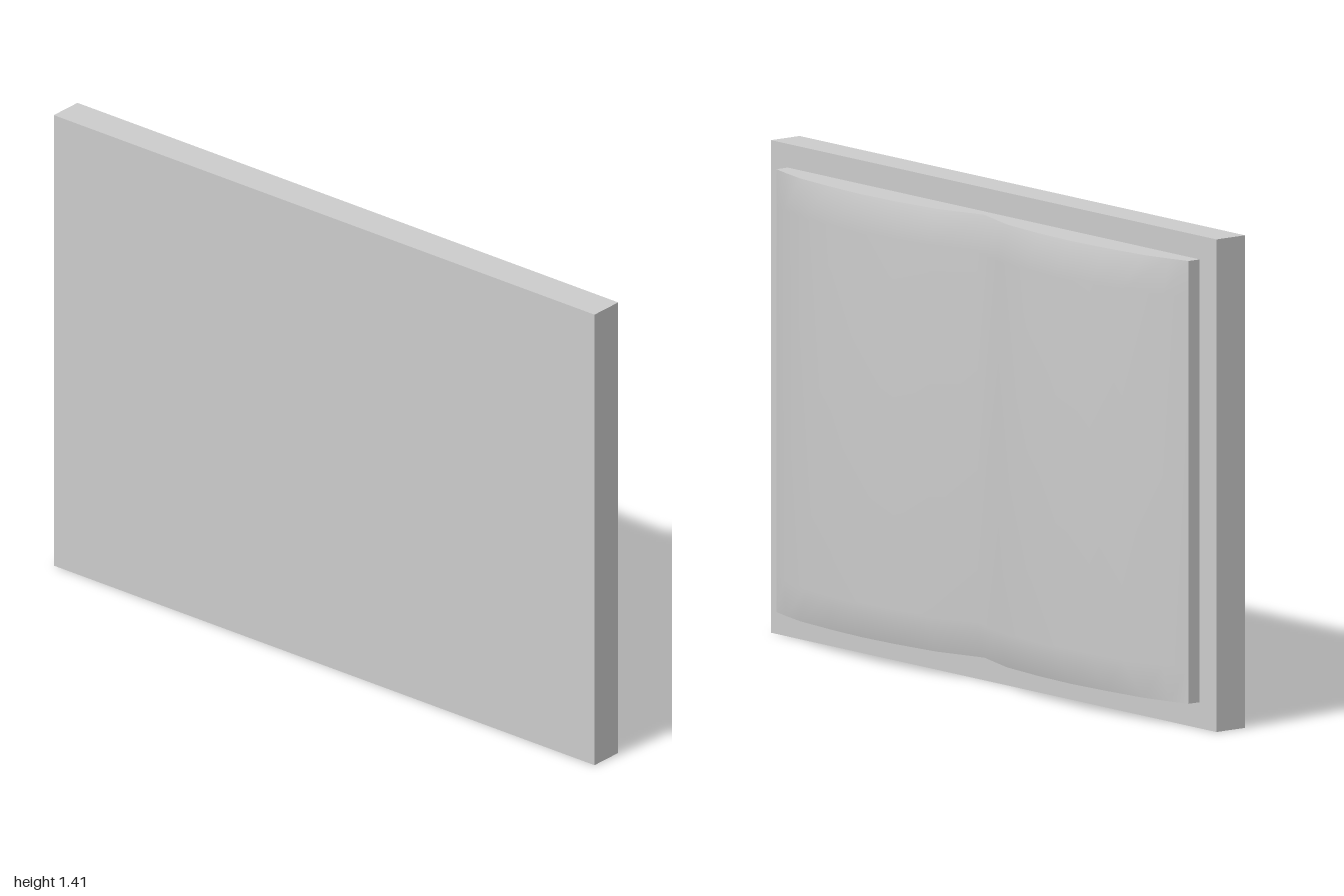
import * as THREE from 'three';

const material = new THREE.MeshStandardMaterial({ color: 0xcccccc });

// Surface through rows of points; the front faces (row step) x (column step)
function sheet(name, rows) {
  const cols = rows[0].length;
  const index = [];
  for (let i = 0; i < rows.length - 1; i++) {
    for (let j = 0; j < cols - 1; j++) {
      const a = i * cols + j;
      const b = a + cols;
      index.push(a, b, a + 1, a + 1, b, b + 1);
    }
  }
  const geometry = new THREE.BufferGeometry();
  geometry.setAttribute('position', new THREE.Float32BufferAttribute(rows.flat(2), 3));
  geometry.setIndex(index);
  geometry.computeVertexNormals();
  const mesh = new THREE.Mesh(geometry, material);
  mesh.name = name;
  return mesh;
}

export function createModel() {
  const model = new THREE.Group();
  model.name = 'openBook';

  // Flat cover board
  const coverZ = 0.014;
  const cover = new THREE.Mesh(new THREE.BoxGeometry(2, 1.415, 0.104), material);
  cover.name = 'cover';
  cover.position.set(0, 0.7075, coverZ + 0.052);
  model.add(cover);

  // Half profile from gutter to outer edge: x, z in the middle; x, z at the top and bottom
  const half = [
    [0, -0.044, 0, -0.02],
    [0.155, -0.094, 0.16, -0.066],
    [0.3, -0.109, 0.32, -0.082],
    [0.44, -0.116, 0.47, -0.088],
    [0.58, -0.108, 0.62, -0.08],
    [0.71, -0.094, 0.77, -0.066],
    [0.85, -0.06, 0.86, -0.045],
    [0.925, -0.027, 0.925, -0.027],
  ];
  const mirrored = half.slice(1).reverse().map(([x, z, ex, ez]) => [-x, z, -ex, ez]);
  const profile = [...mirrored, ...half];
  const middle = (y) => profile.map(([x, z]) => [x, y, z]);
  const end = (y) => profile.map(([, , x, z]) => [x, y, z]);
  const rows = [end(0.075), middle(0.18), middle(1.243), end(1.347)];
  const onCover = (row) => row.map(([x, y]) => [x, y, coverZ]);

  // Curved page block, with separate edge strips for crisp borders
  const pages = new THREE.Group();
  pages.name = 'pages';
  const last = profile.length - 1;
  const toCover = ([x, y]) => [x, y, coverZ];
  pages.add(
    sheet('pageSurface', rows),
    sheet('pageTopEdge', [rows[3], onCover(rows[3])]),
    sheet('pageBottomEdge', [onCover(rows[0]), rows[0]]),
    sheet('pageLeftEdge', rows.map((r) => [r[last], toCover(r[last])])),
    sheet('pageRightEdge', rows.map((r) => [toCover(r[0]), r[0]])),
  );
  model.add(pages);
  return model;
}
